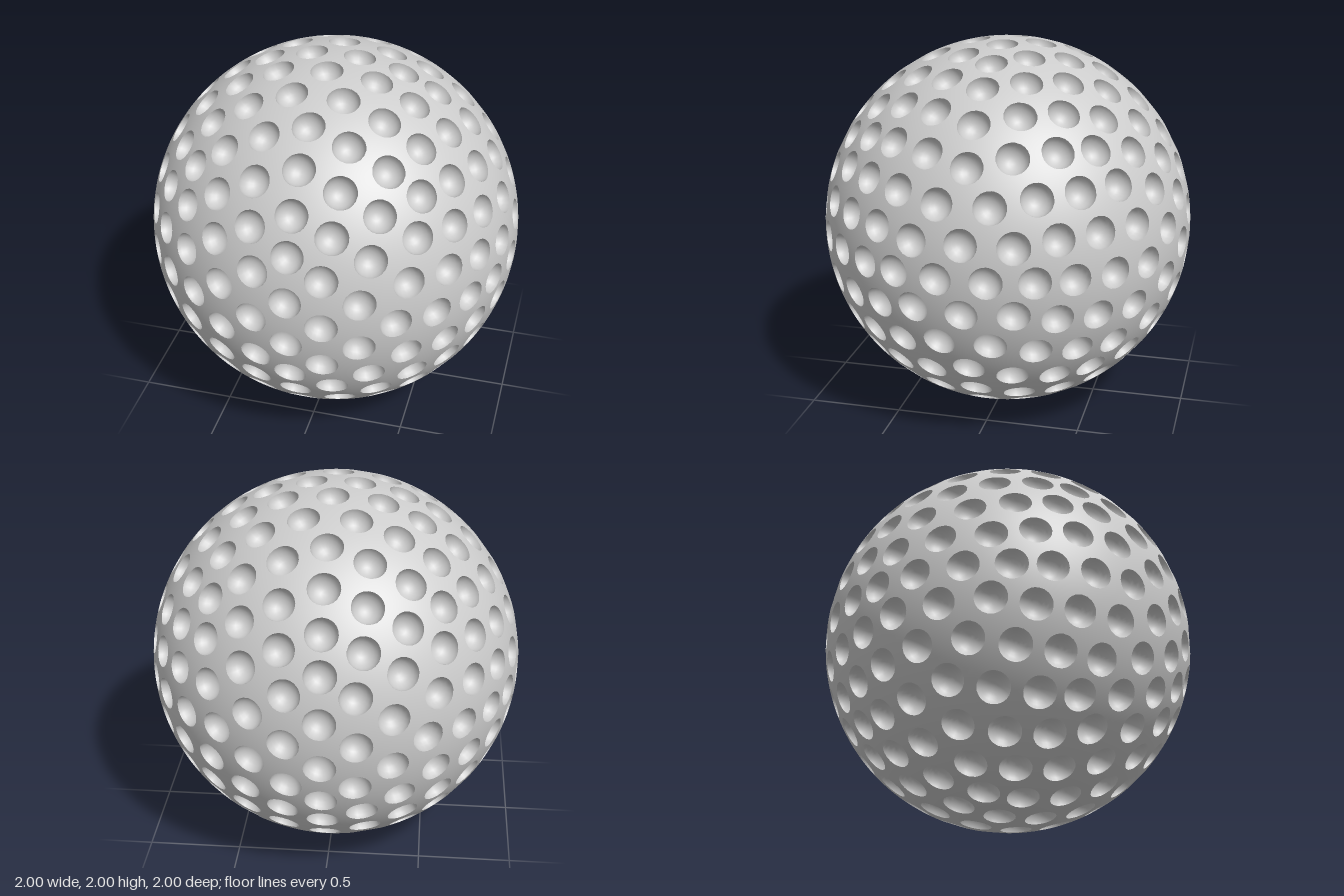
import * as THREE from 'three';

const PHI = (1 + Math.sqrt(5)) / 2;
const RIM = 0.083;    // dimple rim radius
const DEPTH = 0.08;   // dimple depth below its rim plane
const V = (x, y, z) => new THREE.Vector3(x, y, z);

// All sign changes and cyclic shifts of (0, a, b), as unit vectors
function cyclic(a, b) {
  const out = [];
  for (const s of [1, -1]) for (const t of [1, -1]) {
    const p = s * a, q = t * b;
    out.push(V(0, p, q), V(q, 0, p), V(p, q, 0));
  }
  return out.map(v => v.normalize());
}

// Dimple centres: a dodecahedron with raised faces, each triangle split in three
function dimpleCentres() {
  const tips = cyclic(PHI, 1);
  const corners = cyclic(1 / PHI, PHI);
  for (const x of [1, -1]) for (const y of [1, -1]) for (const z of [1, -1])
    corners.push(V(x, y, z).normalize());
  const found = [];
  for (const tip of tips) {
    const ring = corners.filter(c => c.angleTo(tip) < 0.7);
    for (const a of ring) for (const b of ring) {
      if (a === b || a.angleTo(b) > 0.8) continue;
      for (let i = 0; i <= 3; i++) for (let j = 0; j <= 3 - i; j++) {
        const p = V(0, 0, 0).addScaledVector(tip, i * 0.92)
          .addScaledVector(a, j).addScaledVector(b, 3 - i - j).normalize();
        if (!found.some(f => f.distanceTo(p) < 0.01)) found.push(p);
      }
    }
  }
  return found;
}

// Outline of the cell around a centre, halfway to its neighbours
function cellOutline(c, centres, steps) {
  const u = V(0, 1, 0).cross(c);
  if (u.length() < 0.01) u.set(1, 0, 0);
  u.normalize();
  const w = c.clone().cross(u);
  const angle = p => Math.atan2(p.dot(w), p.dot(u));
  const near = centres.filter(p => p !== c && p.angleTo(c) < 0.305)
    .sort((a, b) => angle(a) - angle(b));
  const corners = near.map((a, i) => {
    const b = near[(i + 1) % near.length];
    return a.clone().sub(c).cross(b.clone().sub(c)).normalize();
  });
  const pts = [];
  corners.forEach((k, i) => {
    const next = corners[(i + 1) % corners.length];
    for (let s = 0; s < steps; s++) pts.push(k.clone().lerp(next, s / steps).normalize());
  });
  return pts;
}

// Collects rings of points and normals and skins them from inside to outside
function surface() {
  const pos = [], nor = [], idx = [];
  return {
    rings(list) {
      const n = list[0].length, base = pos.length / 3;
      const closed = list[0][0][0].distanceTo(list[0][1][0]) < 1e-6;
      for (const ring of list) for (const [p, m] of ring) {
        pos.push(p.x, p.y, p.z);
        nor.push(m.x, m.y, m.z);
      }
      for (let r = 0; r + 1 < list.length; r++) for (let i = 0; i < n; i++) {
        const a = base + r * n + i, b = base + r * n + (i + 1) % n;
        if (r > 0 || !closed) idx.push(a, b + n, b);
        idx.push(a, a + n, b + n);
      }
    },
    mesh(name) {
      const g = new THREE.BufferGeometry();
      g.setAttribute('position', new THREE.Float32BufferAttribute(pos, 3));
      g.setAttribute('normal', new THREE.Float32BufferAttribute(nor, 3));
      g.setIndex(idx);
      const m = new THREE.Mesh(g, new THREE.MeshStandardMaterial({ color: 0xcccccc }));
      m.name = name;
      m.position.y = 1;
      return m;
    },
  };
}

export function createModel() {
  const group = new THREE.Group();
  group.name = 'dimpledBall';
  const centres = dimpleCentres();
  const shell = surface(), dimples = surface();
  const rimHeight = Math.sqrt(1 - RIM * RIM);
  const R = (RIM * RIM + DEPTH * DEPTH) / (2 * DEPTH);
  const bowlCentre = rimHeight + R - DEPTH;
  const sweep = Math.acos((R - DEPTH) / R);

  for (const c of centres) {
    const outline = cellOutline(c, centres, 4);
    const dirs = outline.map(p => p.clone().addScaledVector(c, -p.dot(c)).normalize());
    const at = (d, radius, height) =>
      c.clone().multiplyScalar(height).addScaledVector(d, radius);

    // Outer skin between the dimple rim and the cell outline
    const rim = dirs.map(d => at(d, RIM, rimHeight));
    shell.rings([0, 0.5, 1].map(t => rim.map((p, i) => {
      const q = p.clone().lerp(outline[i], t).normalize();
      return [q, q];
    })));

    // Nearly hemispherical bowl of the dimple
    const mid = c.clone().multiplyScalar(bowlCentre);
    dimples.rings([0, 1, 2, 3, 4, 5, 6].map(k => dirs.map(d => {
      const a = sweep * k / 6;
      const p = at(d, R * Math.sin(a), bowlCentre - R * Math.cos(a));
      return [p, mid.clone().sub(p).normalize()];
    })));
  }

  group.add(shell.mesh('outerShell'), dimples.mesh('dimples'));
  return group;
}
